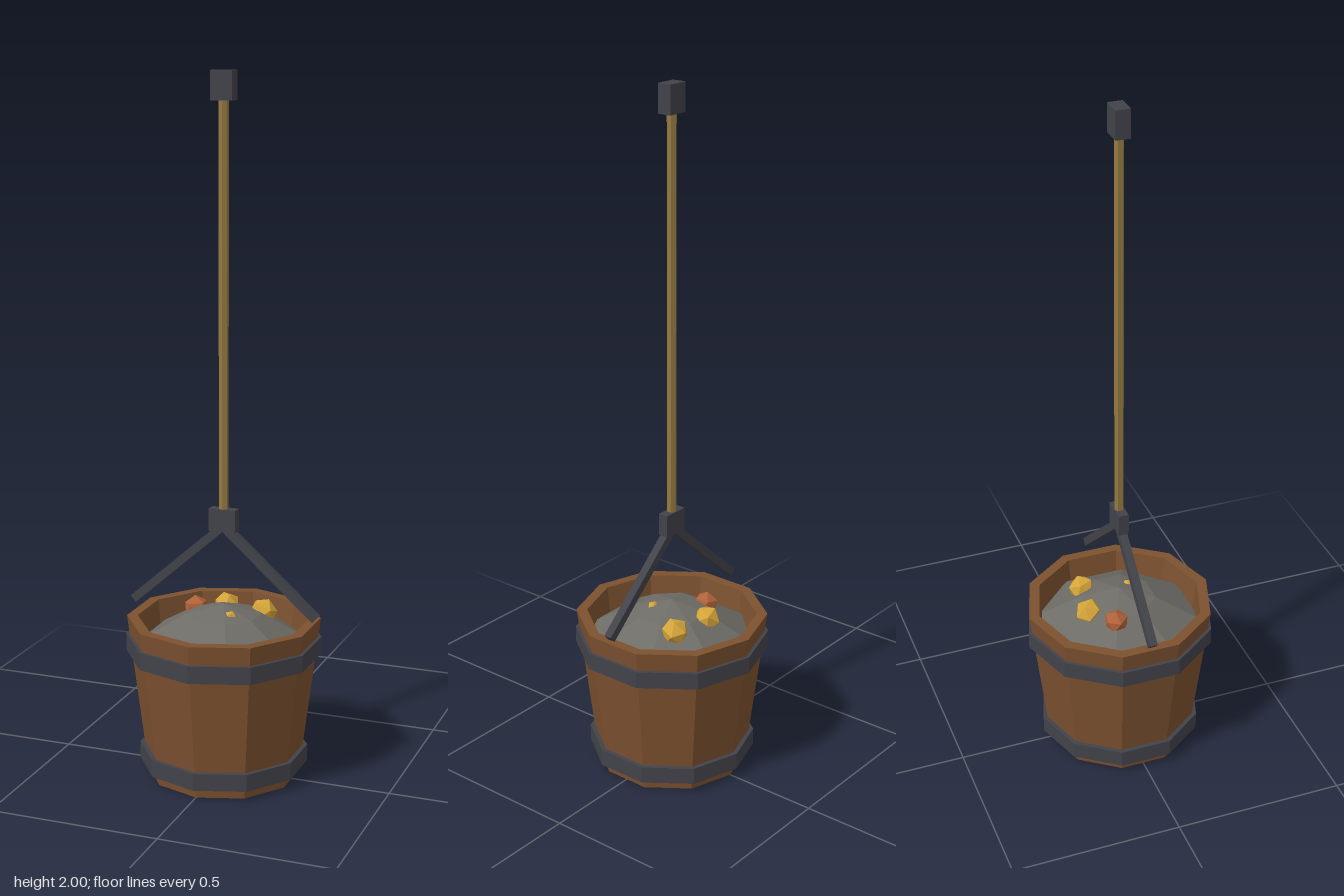
import * as THREE from 'three';

const paint = (name, color, extra = {}) =>
  Object.assign(new THREE.MeshStandardMaterial({ color, flatShading: true, ...extra }), { name });

export function createModel() {
  const wood = paint('wood', 0x7d5230);
  const iron = paint('iron', 0x42424a);
  const rope = paint('rope', 0x93793f);
  const stone = paint('stone', 0x6e6c66);
  const gold = paint('gold', 0xd6a53a);
  const copper = paint('copper', 0xb0623a);

  const model = new THREE.Group();
  model.name = 'oreBucket';
  const add = (name, geometry, material, x = 0, y = 0, z = 0) => {
    const mesh = new THREE.Mesh(geometry, material);
    mesh.name = name;
    mesh.position.set(x, y, z);
    model.add(mesh);
    return mesh;
  };
  // Faceted solid of revolution from [radius, height] pairs
  const turned = (points, sides, start = 0) =>
    new THREE.LatheGeometry(points.map(([r, y]) => new THREE.Vector2(r, y)), sides, start);

  // Ten-sided tapered bucket: underside, outer wall, rim, inner wall, floor
  add('bucket', turned([[0, 0], [0.22, 0], [0.278, 0.465], [0.247, 0.465], [0.2, 0.04], [0, 0.04]], 10), wood);

  // Iron hoops
  const hoop = (name, y, outer, inner) =>
    add(name, turned([[inner, 0], [outer, 0], [outer, 0.05], [inner, 0.05], [inner, 0]], 10), iron, 0, y, 0);
  hoop('lowerHoop', 0.03, 0.243, 0.215);
  hoop('upperHoop', 0.36, 0.281, 0.255);

  // Eight-sided heap of stone
  add('stoneHeap', turned([[0.21, 0.34], [0.238, 0.4], [0.108, 0.474], [0, 0.505]], 8, Math.PI / 8), stone);

  // Nuggets resting in the heap
  const nuggets = [
    ['goldNugget', gold, 0.041, -0.03, 0.463, -0.105, 0.5],
    ['goldNugget', gold, 0.041, 0.09, 0.463, -0.085, 1.7],
    ['copperNugget', copper, 0.037, -0.102, 0.466, -0.046, 2.6],
    ['goldChip', gold, 0.018, 0.035, 0.48, 0.04, 0.9],
  ];
  for (const [name, material, r, x, y, z, turn] of nuggets) {
    add(name, new THREE.IcosahedronGeometry(r), material, x, y, z).rotation.set(turn, turn * 0.7, turn * 0.4);
  }

  // Sloping handle bars, mirrored
  const rise = 0.245, run = 0.277;
  for (const side of [-1, 1]) {
    const bar = add(side > 0 ? 'leftHandleBar' : 'rightHandleBar',
      new THREE.BoxGeometry(Math.hypot(rise, run), 0.024, 0.024), iron, side * run / 2, 0.49 + rise / 2, 0);
    bar.rotation.z = -side * Math.atan2(rise, run);
  }

  // Rope between its two iron clamps
  add('lowerClamp', new THREE.BoxGeometry(0.08, 0.065, 0.03), iron, 0, 0.7525, 0);
  add('rope', new THREE.CylinderGeometry(0.014, 0.014, 1.18, 6), rope, 0, 1.35, 0);
  add('upperClamp', new THREE.BoxGeometry(0.062, 0.08, 0.042), iron, 0, 1.96, 0);

  return model;
}
